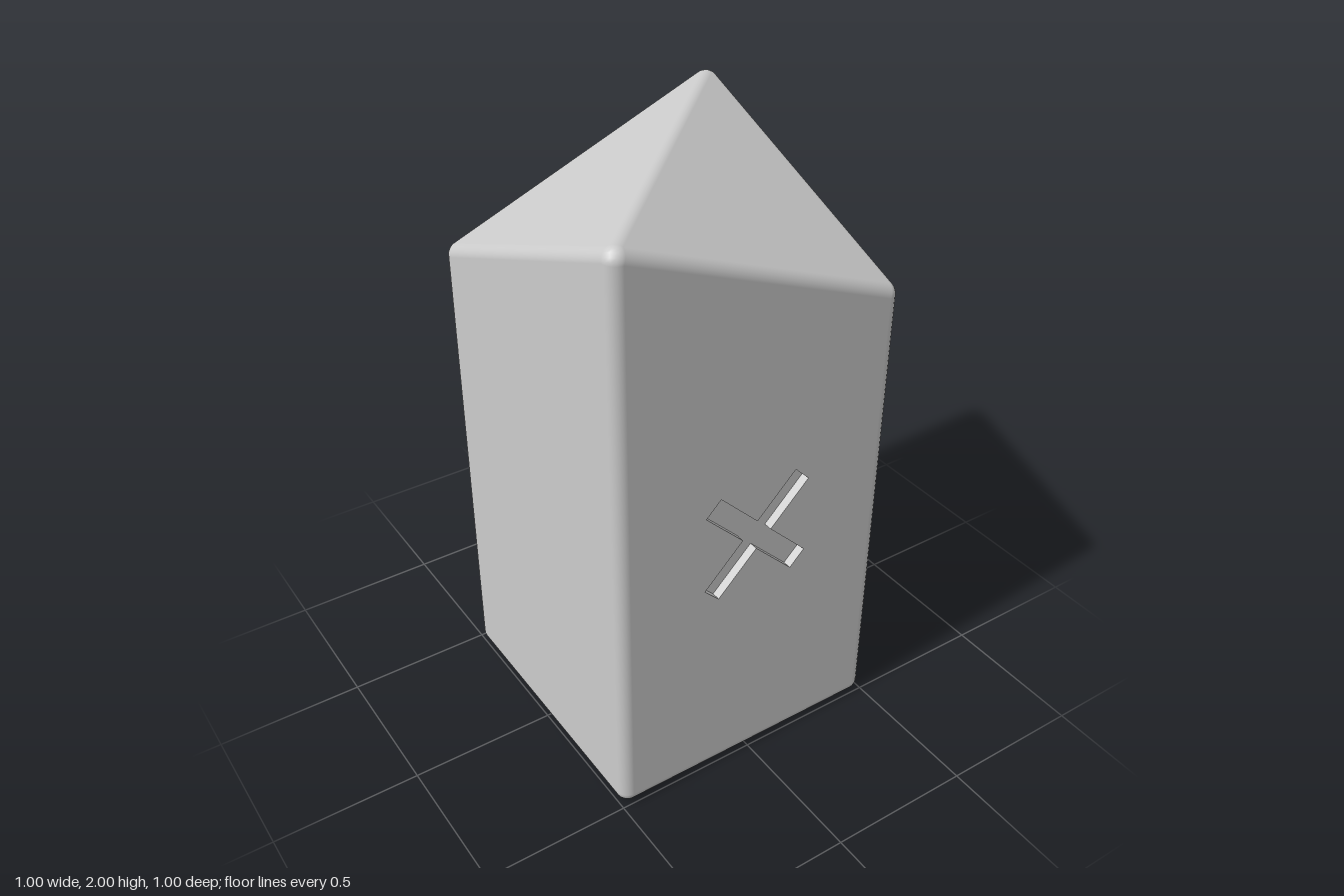
import * as THREE from 'three';
import { mergeGeometries } from 'three/addons/utils/BufferGeometryUtils.js';

const R = 0.042;          // edge rounding
const STEPS = 6;          // segments across a rounded edge
const DEPTH = 0.03;       // depth of the engraved marks
const SLOPE = 0.4;        // roof slope along x and z
const S = 0.5 - R;        // half width of the flat faces
const HIGH = 2 - R, LOW = HIGH - SLOPE * 2 * S;

const V3 = (x, y, z) => new THREE.Vector3(x, y, z);

// Rounded shell: flat faces, rounded edges and ball corners around an inner solid
function shellGeometry() {
  const verts = [
    V3(-S, R, -S), V3(S, R, -S), V3(S, R, S), V3(-S, R, S),
    V3(-S, LOW, -S), V3(S, HIGH, -S), V3(S, LOW, S), V3(-S, HIGH, S),
  ];
  // Order keeps neighbouring faces consecutive around each corner
  const faces = [
    { loop: [0, 1, 2, 3], n: V3(0, -1, 0), open: true },
    { loop: [0, 3, 7, 4], n: V3(-1, 0, 0) },
    { loop: [3, 2, 6, 7], n: V3(0, 0, 1), open: true },
    { loop: [1, 0, 4, 5], n: V3(0, 0, -1), open: true },
    { loop: [2, 1, 5, 6], n: V3(1, 0, 0) },
    { loop: [5, 6, 7], n: V3(SLOPE, 1, SLOPE).normalize() },
    { loop: [4, 5, 7], n: V3(-SLOPE, 1, -SLOPE).normalize() },
  ];
  const pos = [], nor = [];
  const point = (v, n) => ({ p: v.clone().addScaledVector(n, R), n });
  const tri = (a, b, c) => {
    const cross = b.p.clone().sub(a.p).cross(c.p.clone().sub(a.p));
    const outward = a.n.clone().add(b.n).add(c.n);
    const order = cross.dot(outward) < 0 ? [a, c, b] : [a, b, c];
    for (const q of order) {
      pos.push(q.p.x, q.p.y, q.p.z);
      nor.push(q.n.x, q.n.y, q.n.z);
    }
  };

  // Plain flat faces (engraved ones are separate panels)
  for (const { loop, n, open } of faces) {
    if (open) continue;
    const q = loop.map((i) => point(verts[i], n));
    for (let i = 1; i < q.length - 1; i++) tri(q[0], q[i], q[i + 1]);
  }

  // Rounded edges between each pair of neighbouring faces
  const blend = (a, b, t) => a.clone().lerp(b, t).normalize();
  faces.forEach((f, i) => faces.slice(i + 1).forEach((g) => {
    const shared = f.loop.filter((k) => g.loop.includes(k));
    if (shared.length !== 2) return;
    const [a, b] = shared.map((k) => verts[k]);
    for (let s = 0; s < STEPS; s++) {
      const n0 = blend(f.n, g.n, s / STEPS), n1 = blend(f.n, g.n, (s + 1) / STEPS);
      tri(point(a, n0), point(b, n0), point(b, n1));
      tri(point(a, n0), point(b, n1), point(a, n1));
    }
  }));

  // Ball corners
  verts.forEach((v, k) => {
    const ns = faces.filter((f) => f.loop.includes(k)).map((f) => f.n);
    for (let m = 1; m < ns.length - 1; m++) {
      const at = (i, j) => point(v, V3(0, 0, 0)
        .addScaledVector(ns[0], STEPS - i - j)
        .addScaledVector(ns[m], i)
        .addScaledVector(ns[m + 1], j).normalize());
      for (let i = 0; i < STEPS; i++) {
        for (let j = 0; j < STEPS - i; j++) {
          tri(at(i, j), at(i + 1, j), at(i, j + 1));
          if (i + j < STEPS - 1) tri(at(i + 1, j), at(i + 1, j + 1), at(i, j + 1));
        }
      }
    }
  });

  const geo = new THREE.BufferGeometry();
  geo.setAttribute('position', new THREE.Float32BufferAttribute(pos, 3));
  geo.setAttribute('normal', new THREE.Float32BufferAttribute(nor, 3));
  return geo;
}

// Flat panel facing +z with sunken marks; mark outlines run counter-clockwise
function engravedPanel(outline, marks) {
  const toVec = (list) => list.map(([x, y]) => new THREE.Vector2(x, y));
  const flat = (shape) => {
    const g = new THREE.ShapeGeometry(shape).toNonIndexed();
    g.deleteAttribute('uv');
    return g;
  };
  const face = new THREE.Shape(toVec(outline));
  face.holes = marks.map((m) => new THREE.Path(toVec(m)));
  const parts = [flat(face)];
  for (const mark of marks) {
    parts.push(flat(new THREE.Shape(toVec(mark))).translate(0, 0, -DEPTH));
    const walls = [];
    mark.forEach(([ax, ay], i) => {
      const [bx, by] = mark[(i + 1) % mark.length];
      walls.push(ax, ay, 0, bx, by, 0, bx, by, -DEPTH);
      walls.push(ax, ay, 0, bx, by, -DEPTH, ax, ay, -DEPTH);
    });
    const g = new THREE.BufferGeometry();
    g.setAttribute('position', new THREE.Float32BufferAttribute(walls, 3));
    g.computeVertexNormals();
    parts.push(g);
  }
  return mergeGeometries(parts);
}

// Diagonal cross outline, built from one arm turned four times
function crossMark(cy, halfLength, halfWidth) {
  const pts = [];
  for (let i = 0; i < 4; i++) {
    const a = Math.PI / 4 + i * Math.PI / 2, c = Math.cos(a), s = Math.sin(a);
    for (const [x, y] of [[halfLength, -halfWidth], [halfLength, halfWidth], [halfWidth, halfWidth]]) {
      pts.push([x * c - y * s, cy + x * s + y * c]);
    }
  }
  return pts;
}

export function createModel() {
  const model = new THREE.Group();
  model.name = 'slopedBlock';
  const grey = new THREE.MeshStandardMaterial({ color: 0xcccccc });
  grey.name = 'lightGrey';
  const add = (name, geo) => {
    const mesh = new THREE.Mesh(geo, grey);
    mesh.name = name;
    model.add(mesh);
  };

  add('roundedShell', shellGeometry());

  // Front and back panels with a cross
  const side = engravedPanel(
    [[-S, R], [S, R], [S, LOW], [-S, HIGH]],
    [crossMark(0.912, 0.233, 0.037)],
  ).translate(0, 0, 0.5);
  add('frontPanel', side);
  add('backPanel', side.clone().rotateY(Math.PI));

  // Base with two chevrons and a bar
  const h = 0.19, w = 0.105;
  const chevron = (x) => [[x, h], [x - w, h], [x - w - h, 0], [x - w, -h], [x, -h], [x - h, 0]];
  const bar = [[-0.235, h], [-0.31, h], [-0.31, -h], [-0.235, -h]];
  add('basePanel', engravedPanel(
    [[-S, -S], [S, -S], [S, S], [-S, S]],
    [chevron(0.31), chevron(0.095), bar],
  ).rotateX(Math.PI / 2));

  return model;
}
